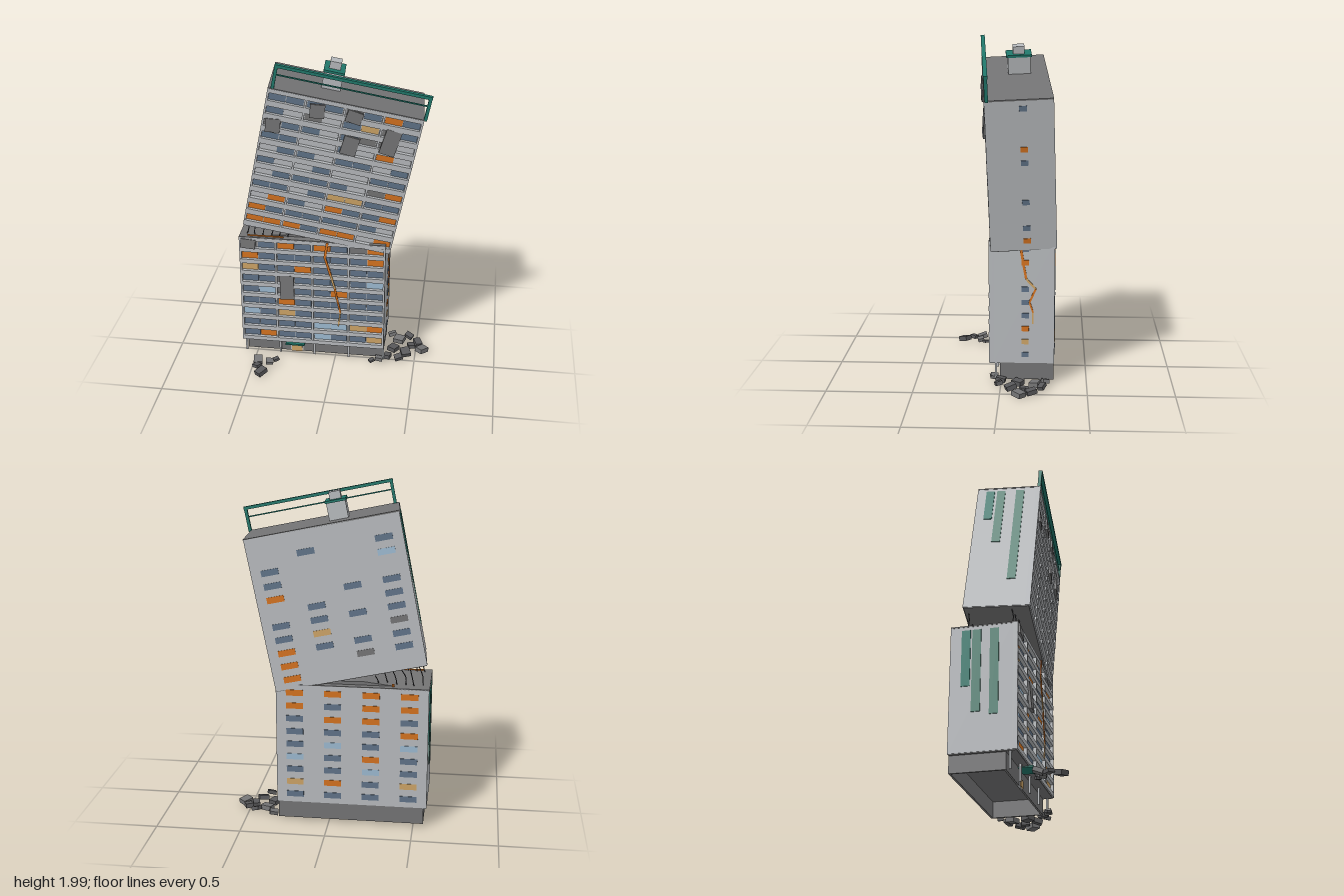
import * as THREE from 'three';

const material = (name, color) => {
  const m = new THREE.MeshStandardMaterial({ color, side: THREE.DoubleSide });
  m.name = name;
  return m;
};
const M = {
  wall: material('pale concrete', 0xb6b9bc),
  G: material('dark concrete', 0x737374),
  rubble: material('rubble grey', 0x58585a),
  metal: material('dark steel', 0x3a3a3c),
  D: material('slate glass', 0x5f7287),
  L: material('pale blue glass', 0x9bb8cf),
  O: material('fire orange', 0xd2711f),
  T: material('warm tan light', 0xcba265),
  teal: material('teal', 0x21776a),
  faded: material('faded teal', 0x4f8273),
};

const W = 0.89, D = 0.38, PITCH = 0.079, BAY = W / 4;

function box(parent, name, mat, w, h, d, x, y, z) {
  const mesh = new THREE.Mesh(new THREE.BoxGeometry(w, h, d), mat);
  mesh.name = name;
  mesh.position.set(x, y, z);
  parent.add(mesh);
  return mesh;
}

// thin bar between two points
function bar(parent, name, mat, a, b, w, d) {
  const p = new THREE.Vector3(...a), q = new THREE.Vector3(...b);
  const mesh = box(parent, name, mat, w, p.distanceTo(q), d, 0, 0, 0);
  mesh.position.copy(p).add(q).multiplyScalar(0.5);
  mesh.quaternion.setFromUnitVectors(new THREE.Vector3(0, 1, 0), q.sub(p).normalize());
  return mesh;
}

// one block of flats; rows of cells are listed from the top floor down
function tower({ name, height, first, front, back, side, parapet, stripes }) {
  const g = new THREE.Group();
  g.name = name;
  box(g, 'core', M.wall, W - 0.004, height, D - 0.025, 0, height / 2, -0.0125);
  box(g, 'roof', M.G, W, 0.008, D, 0, height, 0);
  box(g, 'underside', M.G, W - 0.01, 0.006, D - 0.01, 0, -0.002, 0);

  // fins between the bays
  for (let i = 0; i <= 4; i++) {
    const x = THREE.MathUtils.clamp(-W / 2 + i * BAY, -W / 2 + 0.006, W / 2 - 0.006);
    box(g, 'fin', M.wall, 0.012, height, 0.027, x, height / 2, D / 2 - 0.0125);
  }
  const floors = front.length;
  for (let r = 0; r < floors; r++) {
    const y = first + (floors - 1 - r) * PITCH;
    const low = Math.max(0, y - PITCH / 2 - parapet / 2);
    const high = y - PITCH / 2 + parapet / 2;
    box(g, 'balconyParapet', M.wall, W, high - low, 0.026, 0, (low + high) / 2, D / 2 - 0.011);
    [...front[r]].forEach((c, i) => {
      if (!M[c]) return;
      const x = (Math.floor(i / 2) - 1.5) * BAY + (i % 2 ? 0.0515 : -0.0515);
      box(g, 'frontWindow', M[c], 0.099, PITCH - parapet + 0.004, 0.008, x, y, D / 2 - 0.022);
    });
    [...back[r]].forEach((c, i) => {
      if (M[c]) box(g, 'backWindow', M[c], 0.1, 0.036, 0.006, (1.5 - i) * BAY, y, -D / 2);
    });
    if (M[side[r]]) box(g, 'sideWindow', M[side[r]], 0.006, 0.03, 0.042, W / 2, y, -0.02);
  }
  box(g, 'topBand', M.wall, W, 0.024, 0.026, 0, height - 0.012, D / 2 - 0.011);

  // painted stripes on the blank end wall
  stripes.forEach(([z, length, mat]) =>
    box(g, 'paintedStripe', mat, 0.006, length, 0.05, -W / 2, height - 0.025 - length / 2, z));
  return g;
}

// tilted broken facade panels: [x, y, width, height, roll]
function brokenPanels(g, list) {
  list.forEach(([x, y, w, h, roll]) => {
    box(g, 'brokenPanel', M.G, w, h, 0.016, x, y, D / 2 + 0.002).rotation.set(-0.08, 0.05, roll);
  });
}

function crack(parent, points, sideways) {
  for (let i = 1; i < points.length; i++) {
    const s = 0.016 - i * 0.0012;
    bar(parent, 'glowingCrack', i % 3 ? M.O : M.T, points[i - 1], points[i],
      sideways ? 0.006 : s, sideways ? s : 0.006);
  }
}

export function createModel() {
  const model = new THREE.Group();
  model.name = 'brokenApartmentBlock';
  let seed = 7;
  const rnd = () => (seed = (seed * 16807) % 2147483647) / 2147483647;

  // lower block
  const lower = tower({
    name: 'lowerBlock', height: 0.73, first: 0.052, parapet: 0.028,
    front: ['GDODODGO', 'ODDDDDDO', 'TDDODDDD', 'DDGDDDDL', 'DLGDDODD', 'DDODDDDD', 'LDTDDDDD', 'DDDDLLTO', 'DODDLDDT'],
    back: ['OOOO', 'ODOO', 'DOOD', 'DDDO', 'DLDL', 'LDOD', 'DDLD', 'TODT', 'DDDD'],
    side: 'DO.DDDOTD',
    stripes: [[-0.1, 0.33, M.teal], [-0.04, 0.48, M.faded], [0.06, 0.5, M.faded]],
  });
  lower.position.set(-0.135, 0.13, -0.12);
  brokenPanels(lower, [[-0.155, 0.4, 0.085, 0.16, 0.04], [-0.39, 0.69, 0.09, 0.06, -0.1]]);
  model.add(lower);

  // upper block, snapped off and leaning
  const H = 0.895;
  const upper = tower({
    name: 'upperBlock', height: H, first: 0.057, parapet: 0.034,
    front: ['DDDDGDOD', 'D.G.DTGD', 'GDD.DGG.', 'DD..D.O.', '.DD.DD.D', 'D..D..DD', '.DDDD.GO', 'DD.DTTDD', '.OD.ODDO', 'ODDDDDD.', 'OOODOO.O'],
    back: ['....', '.D.D', 'D..L', 'D...', 'O.DD', '.D.D', 'DDDD', 'DT.G', 'ODDD', 'O.GD', 'O...'],
    side: 'D..OD..D.DO',
    stripes: [[-0.11, 0.22, M.teal], [-0.045, 0.4, M.faded], [0.07, 0.68, M.faded]],
  });
  upper.position.set(-0.115, 0.899, -0.0975);
  upper.rotation.set(0.042, 0.07, -0.2);
  brokenPanels(upper, [[-0.15, 0.82, 0.085, 0.08, 0.1], [0.06, 0.83, 0.09, 0.07, -0.15],
    [-0.38, 0.68, 0.085, 0.08, 0.12], [0.07, 0.65, 0.09, 0.11, -0.1], [0.29, 0.72, 0.09, 0.15, -0.12]]);
  model.add(upper);

  // rooftop hut
  box(upper, 'roofHut', M.wall, 0.11, 0.11, 0.13, -0.1, H + 0.05, -0.025);
  box(upper, 'hutCap', M.teal, 0.122, 0.014, 0.148, -0.1, H + 0.11, -0.025);
  box(upper, 'hutVent', M.wall, 0.066, 0.045, 0.068, -0.1, H + 0.138, -0.025);

  // rooftop rail
  box(upper, 'topRail', M.teal, 0.89, 0.018, 0.024, 0.015, H + 0.138, 0.178);
  box(upper, 'middleRail', M.teal, 0.88, 0.007, 0.008, 0.015, H + 0.085, 0.178);
  for (const x of [-0.42, 0.45]) box(upper, 'railPost', M.teal, 0.018, 0.14, 0.02, x, H + 0.068, 0.178);

  // hollow ground floor, set back under the block
  const base = new THREE.Group();
  base.name = 'groundFloor';
  model.add(base);
  for (const z of [0.0, -0.3]) box(base, 'baseWall', M.G, 0.86, 0.105, 0.012, -0.13, 0.08, z);
  for (const x of [-0.554, 0.294]) box(base, 'baseEndWall', M.G, 0.012, 0.105, 0.3, x, 0.08, -0.15);
  for (let i = 0; i <= 4; i++) {
    box(base, 'frontColumn', M.wall, 0.012, 0.11, 0.012, -0.565 + i * 0.2175, 0.082, 0.03);
  }
  box(base, 'doorFrame', M.wall, 0.08, 0.085, 0.012, -0.245, 0.07, 0.004);
  box(base, 'litDoor', M.T, 0.066, 0.04, 0.006, -0.245, 0.048, 0.012);
  box(base, 'entranceCanopy', M.teal, 0.12, 0.01, 0.09, -0.245, 0.124, 0.045);

  // jagged slab left on the broken top
  const slab = new THREE.Shape();
  [[-0.42, -0.86], [-0.2, -0.885], [0.05, -0.88], [0.3, -0.86]].forEach(([x, y], i) =>
    i ? slab.lineTo(x, -y) : slab.moveTo(x, -y));
  slab.lineTo(-0.55, 0.85);
  const slabMesh = new THREE.Mesh(new THREE.ExtrudeGeometry(slab, { depth: 0.3, bevelEnabled: false }), M.G);
  slabMesh.name = 'brokenSlab';
  slabMesh.position.z = -0.27;
  model.add(slabMesh);
  box(model, 'ember', M.O, 0.014, 0.014, 0.014, -0.37, 0.875, -0.29);
  box(model, 'emberGlow', M.O, 0.22, 0.008, 0.008, -0.42, 0.866, 0.05);

  // bent reinforcing bars across the gap
  for (let i = 0; i < 12; i++) {
    const x = -0.54 + (i % 6) * 0.05, z = i < 6 ? 0.02 + 0.02 * rnd() : -0.27 + 0.05 * rnd();
    const top = 0.975 - (x + 0.56) * 0.2;
    const path = new THREE.CatmullRomCurve3([
      new THREE.Vector3(x, 0.85, z),
      new THREE.Vector3(x + 0.02 * rnd(), (0.86 + top) / 2, z + 0.01),
      new THREE.Vector3(x + 0.025, top, z),
    ]);
    const rod = new THREE.Mesh(new THREE.TubeGeometry(path, 6, 0.003, 5), M.metal);
    rod.name = 'reinforcingBar';
    model.add(rod);
  }

  // glowing cracks down the front and the end wall
  crack(model, [[-0.04, 0.86], [-0.055, 0.76], [-0.02, 0.64], [0.005, 0.55], [0.02, 0.47], [0.04, 0.38], [0.028, 0.28]]
    .map(([x, y]) => [x, y, 0.077]), false);
  crack(model, [[-0.115, 0.81], [-0.13, 0.72], [-0.145, 0.64], [-0.2, 0.58], [-0.165, 0.5], [-0.185, 0.44], [-0.185, 0.37]]
    .map(([z, y]) => [0.313, y, z]), true);

  // fallen rubble: [x, z, size]
  const rubble = [[-0.47, 0.155, 0.055], [-0.465, 0.21, 0.045], [-0.43, 0.27, 0.065], [-0.395, 0.165, 0.045],
    [-0.36, 0.13, 0.035], [0.51, -0.18, 0.06], [0.54, -0.11, 0.065], [0.47, -0.14, 0.05], [0.44, -0.06, 0.06],
    [0.39, -0.2, 0.065], [0.36, -0.1, 0.06], [0.4, 0.01, 0.05], [0.34, -0.26, 0.05], [0.33, 0.0, 0.055],
    [0.45, -0.24, 0.05], [0.28, 0.04, 0.045], [0.235, 0.05, 0.035]];
  rubble.forEach(([x, z, s], i) => {
    const chunk = box(model, 'rubble', i % 3 ? M.rubble : M.G, s, s * 0.45, s * (0.7 + 0.3 * rnd()), x, 0.027 + 0.015 * rnd(), z);
    chunk.rotation.set(rnd() * 0.6 - 0.3, rnd() * 3, rnd() * 0.6 - 0.3);
  });
  return model;
}
